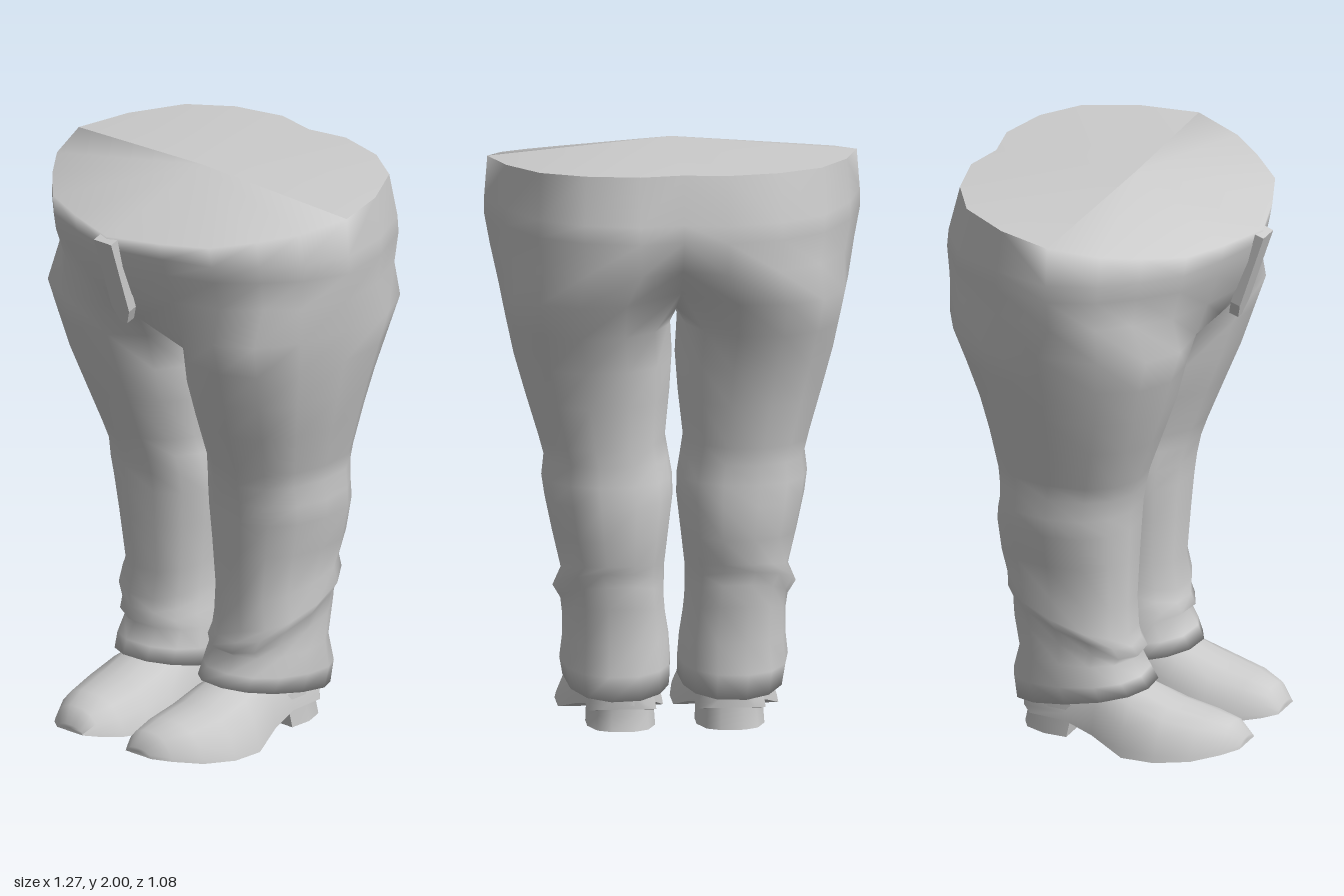
import * as THREE from 'three';
import { mergeVertices, toCreasedNormals } from 'three/addons/utils/BufferGeometryUtils.js';

const material = new THREE.MeshStandardMaterial({ color: 0xcccccc, side: THREE.DoubleSide });
const OUTER = 10; // steps round the outside of a half, front to back
const INNER = 4;  // steps round the inside of a leg

// Collects triangles, mirrored in x when side is -1
function soup() {
  const pos = [];
  const tri = (side, a, b, c) => {
    for (const p of side > 0 ? [a, b, c] : [a, c, b]) pos.push(p[0] * side, p[1], p[2]);
  };
  return {
    tri,
    strip(side, low, high, closed) {
      const n = low.length;
      for (let i = 0; i < (closed ? n : n - 1); i++) {
        const j = (i + 1) % n;
        tri(side, low[i], low[j], high[j]);
        tri(side, low[i], high[j], high[i]);
      }
    },
    fan(side, ring, flip) {
      const c = [0, 1, 2].map(k => ring.reduce((s, p) => s + p[k], 0) / ring.length);
      ring.forEach((p, i) => {
        const q = ring[(i + 1) % ring.length];
        if (flip) tri(side, q, p, c); else tri(side, p, q, c);
      });
    },
    geometry(crease) {
      let g = new THREE.BufferGeometry();
      g.setAttribute('position', new THREE.Float32BufferAttribute(pos, 3));
      if (crease) return toCreasedNormals(g, crease);
      g = mergeVertices(g, 1e-4);
      g.computeVertexNormals();
      return g;
    },
  };
}

// Closed loft with both ends capped
function loft(side, rings, crease) {
  const s = soup();
  for (let i = 0; i < rings.length - 1; i++) s.strip(side, rings[i], rings[i + 1], true);
  s.fan(side, rings[0], true);
  s.fan(side, rings[rings.length - 1], false);
  return s.geometry(crease);
}

function mesh(name, geometry) {
  const m = new THREE.Mesh(geometry, material);
  m.name = name;
  return m;
}

// Leg section: height, inner x, outer x, front z, back z, tilt of y along z
function legRing([y, xi, xo, zf, zb, tilt = 0]) {
  const cx = (xi + xo) / 2, rx = (xo - xi) / 2, cz = (zf + zb) / 2, rz = (zf - zb) / 2;
  const bulge = v => Math.sign(v) * Math.pow(Math.abs(v), 0.88);
  return Array.from({ length: OUTER + INNER }, (_, i) => {
    const deg = i <= OUTER ? -45 + 27 * i : 225 + 90 / INNER * (i - OUTER);
    const t = deg * Math.PI / 180;
    const dz = rz * bulge(Math.cos(t));
    return [cx + rx * bulge(Math.sin(t)), y + tilt * dz, cz + dz];
  });
}

const legSections = [
  [0.21, 0.07, 0.31, 0.12, -0.24],
  [0.165, 0.012, 0.375, 0.20, -0.295, 0.18],
  [0.23, 0.012, 0.387, 0.175, -0.30, 0.1],
  [0.31, 0.018, 0.378, 0.14, -0.275],
  [0.385, 0.03, 0.378, 0.165, -0.30, -0.25],
  [0.44, 0.035, 0.385, 0.145, -0.30, -0.36],
  [0.485, 0.035, 0.412, 0.14, -0.31, -0.36],
  [0.55, 0.035, 0.385, 0.13, -0.32, -0.2],
  [0.68, 0.02, 0.415, 0.14, -0.335],
  [0.80, 0.006, 0.44, 0.148, -0.345],
  [0.87, 0.008, 0.45, 0.155, -0.33],
  [0.94, 0.02, 0.442, 0.17, -0.335],
  [1.0, 0.03, 0.458, 0.188, -0.335],
  [1.15, 0.014, 0.503, 0.245, -0.36],
  [1.28, 0.005, 0.54, 0.295, -0.39],
  [1.41, 0.012, 0.568, 0.335, -0.435],
];

// Half outline of the hips, front centre to back centre (x, z)
const hipOutline = [[0, 0.52], [0.2, 0.465], [0.37, 0.4], [0.485, 0.285], [0.575, 0.17], [0.637, 0],
  [0.587, -0.21], [0.485, -0.4], [0.335, -0.5], [0.15, -0.545], [0, -0.515]];
const hipRing = (y, sx, sf, sb) => hipOutline.map(([x, z]) => [x * sx, y, z * (z > 0 ? sf : sb)]);

function trousers() {
  const s = soup(), cap = soup();
  const legs = legSections.map(legRing);
  // Crotch ring: the inner points lie on the centre plane, where both halves join
  const crotch = legRing([1.53, 0, 0.592, 0.375, -0.485]);
  crotch[0] = [0, 1.53, 0.36];
  crotch[OUTER] = [0, 1.56, -0.40];
  for (let k = 1; k < INNER; k++) {
    crotch[OUTER + k] = [0, 1.46, THREE.MathUtils.lerp(-0.36, 0.32, k / INNER)];
  }
  legs.push(crotch);
  // Waist rim drops towards the front
  const rim = hipRing(0, 0.982, 1, 0.91);
  for (const p of rim) p[1] = p[2] > 0 ? 1.955 - 0.163 * p[2] : 1.955 - 0.06 * p[2];
  const hips = [
    crotch.slice(0, OUTER + 1),
    hipRing(1.65, 0.968, 0.86, 0.99),
    hipRing(1.76, 1, 0.945, 1),
    hipRing(1.82, 0.998, 0.975, 0.99),
    rim,
  ];
  hips[1][OUTER][2] = -0.47;
  const peak = [0, 2, 0.05];
  for (const side of [1, -1]) {
    s.fan(side, legs[0], true);
    for (let i = 0; i < legs.length - 1; i++) s.strip(side, legs[i], legs[i + 1], true);
    for (let i = 0; i < hips.length - 1; i++) s.strip(side, hips[i], hips[i + 1], false);
    // Front of the top runs smoothly into the belly, the back is a separate flat lid
    for (let i = 0; i < OUTER; i++) (i < 5 ? s : cap).tri(side, rim[i], rim[i + 1], peak);
  }
  const g = new THREE.Group();
  g.name = 'trousers';
  g.add(mesh('legsAndHips', s.geometry()), mesh('waistLid', cap.geometry()));
  return g;
}

function fly() {
  const shape = new THREE.Shape();
  [[-0.04, 0], [-0.04, -0.28], [-0.015, -0.335], [0.015, -0.335], [0.04, -0.28], [0.04, 0]]
    .forEach(([x, y], i) => (i ? shape.lineTo(x, y) : shape.moveTo(x, y)));
  const m = mesh('fly', new THREE.ExtrudeGeometry(shape, { depth: 0.035, bevelEnabled: false }));
  m.rotation.x = 0.32;
  m.position.set(0, 1.865, 0.505);
  return m;
}

// Shoe stations from heel to toe: z, bottom y, top y, centre x, half width
const shoeStations = [
  [-0.25, 0.085, 0.22, 0.185, 0.075],
  [-0.21, 0.075, 0.25, 0.185, 0.115],
  [-0.08, 0.07, 0.26, 0.185, 0.115],
  [0.03, 0.045, 0.25, 0.19, 0.135],
  [0.16, 0.005, 0.21, 0.195, 0.178],
  [0.28, 0.008, 0.165, 0.195, 0.18],
  [0.40, 0.02, 0.138, 0.185, 0.155],
  [0.485, 0.034, 0.115, 0.17, 0.105],
  [0.53, 0.042, 0.065, 0.16, 0.06],
];
const shoeSection = [[1, 0], [0.97, 0.14], [0.84, 0.5], [0.62, 0.82], [0.3, 0.98], [0, 1]];

function shoe(side) {
  const half = shoeSection.slice(0, -1);
  const outline = [...shoeSection, ...half.map(([x, y]) => [-x, y]).reverse()];
  const upper = shoeStations.map(([z, yb, yt, cx, w]) =>
    outline.map(([u, v]) => [cx + u * w, yb + v * (yt - yb), z]));
  // Heel block: flat in front, rounded behind
  const heelOutline = [[-1, 0], [1, 0], [1, -0.45], [0.75, -0.85], [0.35, -1], [-0.35, -1], [-0.75, -0.85], [-1, -0.45]];
  const heel = [[0.01, 0.115, -0.075, 0.185], [0.06, 0.112, -0.065, 0.185], [0.13, 0.108, -0.06, 0.19]]
    .map(([y, w, z0, len]) => heelOutline.map(([u, v]) => [0.185 + u * w, y, z0 + v * len]));
  const g = new THREE.Group();
  g.name = side > 0 ? 'leftShoe' : 'rightShoe';
  g.add(mesh('upper', loft(side, upper, 0.95)), mesh('heel', loft(side, heel, 0.95)));
  return g;
}

export function createModel() {
  const model = new THREE.Group();
  model.name = 'trousersAndShoes';
  model.add(trousers(), fly(), shoe(1), shoe(-1));
  return model;
}
